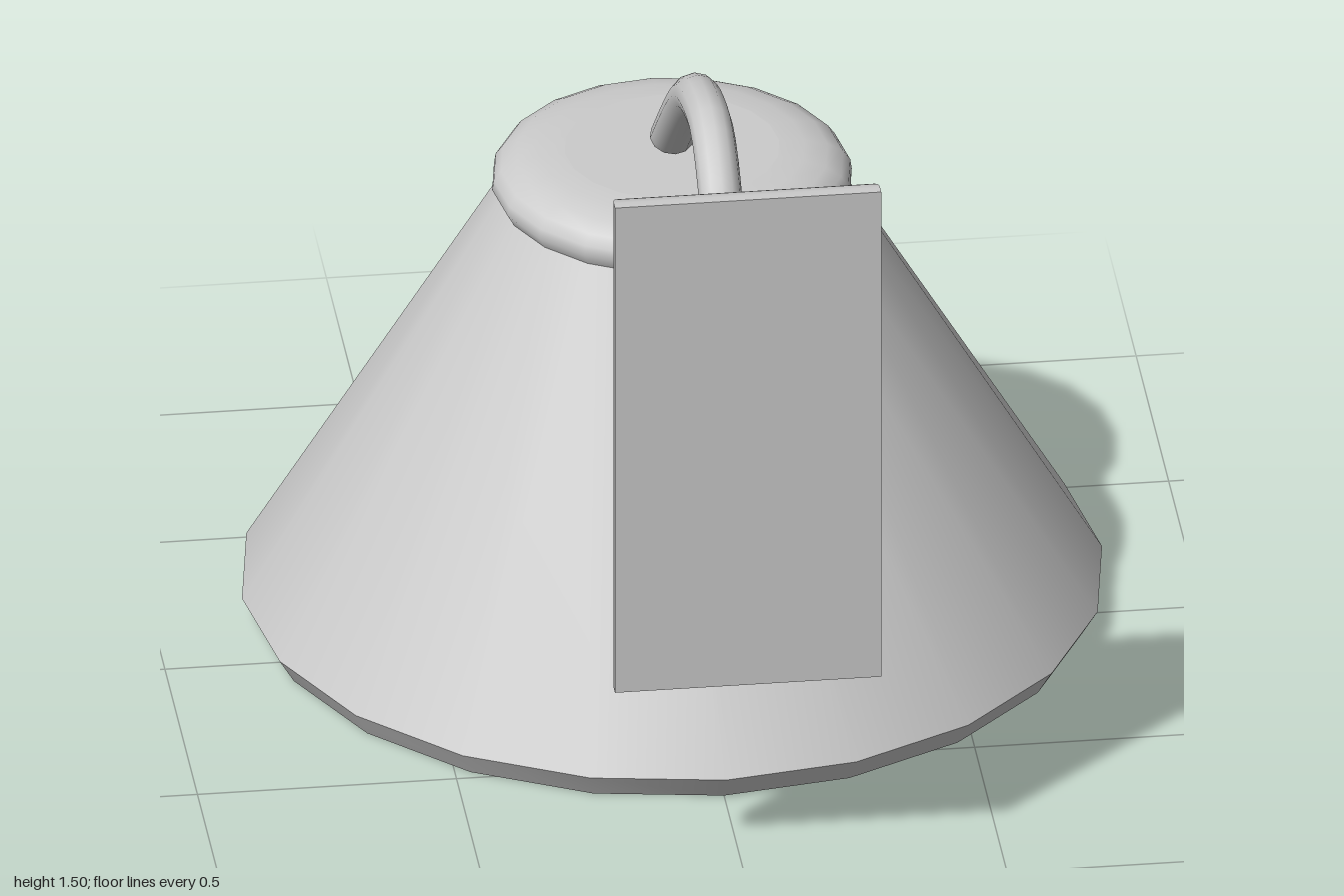
import * as THREE from 'three';
import { toCreasedNormals } from 'three/addons/utils/BufferGeometryUtils.js';

const SHADE_Z = -0.17;
const material = new THREE.MeshStandardMaterial({ color: 0xcccccc, side: THREE.DoubleSide });

function addMesh(group, name, geometry, crease) {
  const mesh = new THREE.Mesh(toCreasedNormals(geometry, crease), material);
  mesh.name = name;
  group.add(mesh);
  return mesh;
}

// Hollow shade: inner wall, inturned lip, bevelled rim, outer wall and rounded shoulder
function shadeGeometry() {
  const profile = [
    [0, 0.965], [0.24, 0.962], [0.31, 0.945], [0.328, 0.915], [0.318, 0.88],
    [0.808, 0.05], [0.76, 0], [0.8, 0], [0.83, 0.05],
    [0.334, 0.887], [0.347, 0.91], [0.344, 0.93], [0.33, 0.95], [0.3, 0.967], [0.255, 0.978], [0.207, 0.981],
  ];
  return new THREE.LatheGeometry(profile.map(([r, y]) => new THREE.Vector2(r, y)), 20);
}

// Wall plate: a box whose edges round off towards the shade, with mitred corners
function plateGeometry() {
  const depth = 0.077, inset = 0.06, steps = 8;
  const geometry = new THREE.BoxGeometry(0.514, 1.06, depth, 1, 1, steps);
  const p = geometry.attributes.position;
  for (let i = 0; i < p.count; i++) {
    const t = Math.max(0, (0.018 - p.getZ(i)) / (depth / 2 + 0.018));
    const d = inset * (1 - Math.sqrt(Math.max(0, 1 - t * t)));
    p.setX(i, p.getX(i) - Math.sign(p.getX(i)) * d);
    p.setY(i, p.getY(i) - Math.sign(p.getY(i)) * d);
  }
  return geometry;
}

// Curved arm, its free end cut almost level above the cap
function armGeometry() {
  const path = [
    [0.94, 0.892], [0.91, 0.897], [0.83, 0.932], [0.75, 1.0], [0.68, 1.105], [0.61, 1.23], [0.54, 1.31],
    [0.45, 1.354], [0.36, 1.348], [0.23, 1.312], [0.13, 1.255], [0, 1.152], [-0.175, 1.0],
  ];
  const curve = new THREE.CatmullRomCurve3(path.map(([z, y]) => new THREE.Vector3(0, y, z)));
  const rings = 30, sides = 12;
  const geometry = new THREE.TubeGeometry(curve, rings, 0.042, sides);
  const p = geometry.attributes.position;
  const dir = curve.getTangentAt(1);
  const first = rings * (sides + 1), slope = -0.17;
  for (let i = first; i < p.count; i++) {
    const gap = 1.0 + slope * (p.getZ(i) + 0.175) - p.getY(i);
    const s = gap / (dir.y - slope * dir.z);
    p.setXYZ(i, p.getX(i), p.getY(i) + dir.y * s, p.getZ(i) + dir.z * s);
  }
  // Close the cut end with a fan
  const index = Array.from(geometry.index.array);
  for (let j = 1; j < sides - 1; j++) index.push(first, first + j, first + j + 1);
  geometry.setIndex(index);
  return geometry;
}

export function createModel() {
  const model = new THREE.Group();
  model.name = 'wallLamp';

  addMesh(model, 'shade', shadeGeometry(), 1).position.z = SHADE_Z;

  // Flat disc closing the top of the shade
  const disc = new THREE.CircleGeometry(0.207, 20).rotateX(-Math.PI / 2);
  addMesh(model, 'shadeTop', disc, 1).position.set(0, 0.981, SHADE_Z);

  addMesh(model, 'arm', armGeometry(), 0.8);

  addMesh(model, 'wallPlate', plateGeometry(), 0.6).position.set(0, 0.975, 0.9615);

  return model;
}
